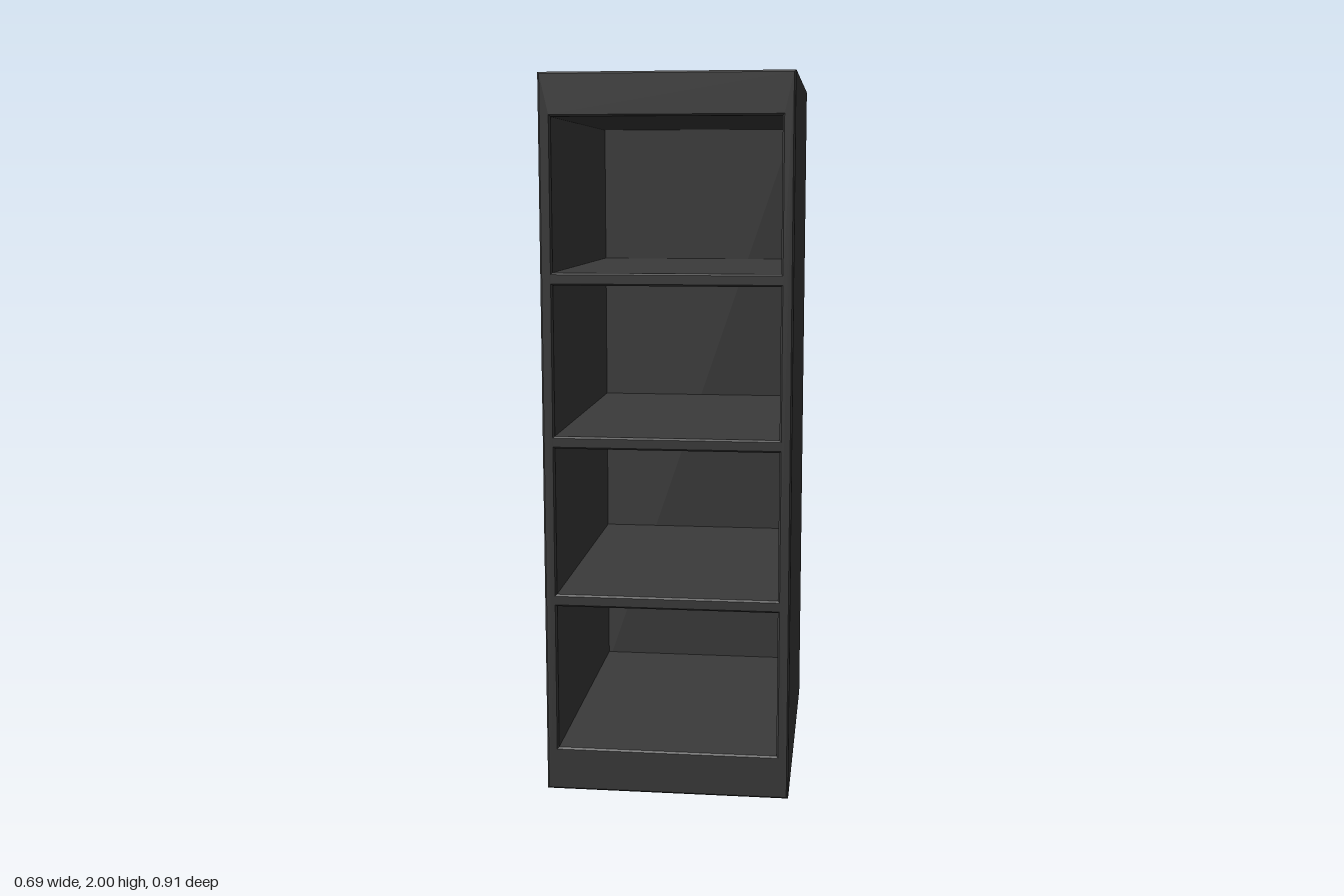
import * as THREE from 'three';

const W = 0.686, H = 2, D = 0.914, BEVEL = 0.005;
const material = new THREE.MeshStandardMaterial({ color: 0x3a3a3a });

// Rectangular outline centred on x = 0
function rect(Type, width, y0, y1) {
  const w = width / 2;
  return new Type([[-w, y0], [w, y0], [w, y1], [-w, y1]].map(([x, y]) => new THREE.Vector2(x, y)));
}

// Slab with finely chamfered edges between two depths
function slab(name, shape, z0, z1) {
  const geometry = new THREE.ExtrudeGeometry(shape, {
    depth: z1 - z0 - 2 * BEVEL,
    bevelEnabled: true,
    bevelThickness: BEVEL,
    bevelSize: BEVEL,
    bevelOffset: -BEVEL,
    bevelSegments: 1,
  });
  geometry.translate(0, 0, z0 + BEVEL);
  const mesh = new THREE.Mesh(geometry, material);
  mesh.name = name;
  return mesh;
}

export function createModel() {
  const group = new THREE.Group();
  group.name = 'openShelfCabinet';

  // Carcass: sides, top, plinth and shelves around four open compartments
  const front = rect(THREE.Shape, W, 0, H);
  const bottom = 0.124, pitch = 0.4485, height = 0.414;
  for (let i = 0; i < 4; i++) {
    const y = bottom + i * pitch;
    front.holes.push(rect(THREE.Path, 0.618, y, y + height));
  }
  group.add(slab('carcass', front, -D / 2 + 0.02, D / 2));

  // Back panel closing the compartments
  group.add(slab('backPanel', rect(THREE.Shape, W, 0, H), -D / 2, -D / 2 + 0.035));

  return group;
}
